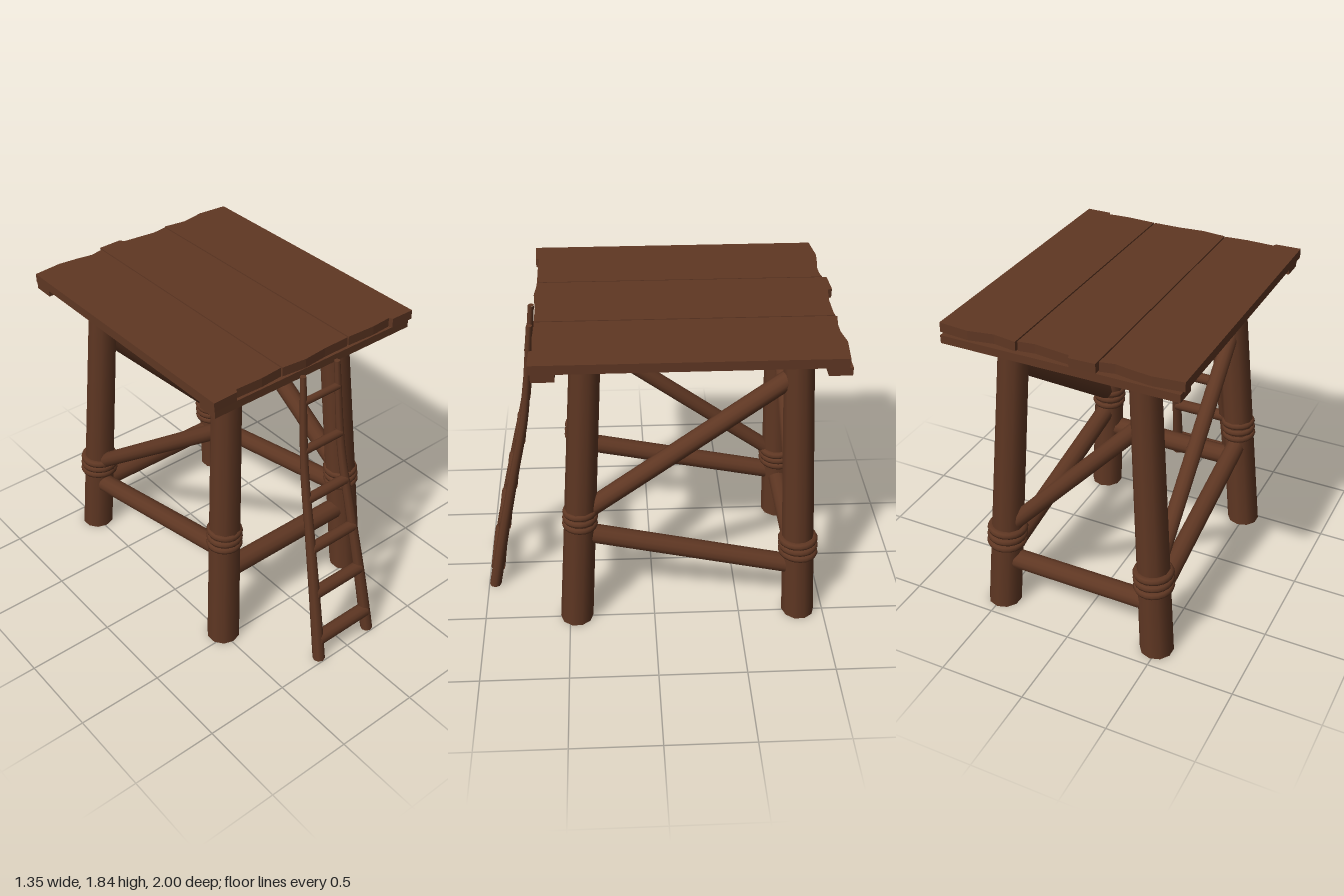
import * as THREE from 'three';

const wood = new THREE.MeshStandardMaterial({ color: 0x5f3723 });
wood.name = 'brownWood';

const LEG_H = 1.725;

// Centre of a splayed leg at height y; sx, sz pick the corner
function legCentre(sx, sz, y) {
  const t = y / LEG_H;
  const z = sz > 0 ? 0.46 - 0.1 * t : -0.855 + 0.095 * t;
  return new THREE.Vector3(sx * (0.49 - 0.12 * t), y, z);
}

export function createModel() {
  const model = new THREE.Group();
  model.name = 'watchPlatform';

  const add = (geometry, name) => {
    const mesh = new THREE.Mesh(geometry, wood);
    mesh.name = name;
    model.add(mesh);
    return mesh;
  };

  // Round beam between two points
  const beam = (a, b, r, name) => {
    const d = b.clone().sub(a);
    const mesh = add(new THREE.CylinderGeometry(r, r, d.length(), 12), name);
    mesh.position.copy(a).add(b).multiplyScalar(0.5);
    mesh.quaternion.setFromUnitVectors(new THREE.Vector3(0, 1, 0), d.normalize());
    return mesh;
  };

  for (const sx of [-1, 1]) {
    for (const sz of [-1, 1]) {
      const side = (sz > 0 ? 'front' : 'back') + (sx > 0 ? 'Left' : 'Right');

      // Leg: tapered post sheared along its splay, so both ends stay level
      const leg = new THREE.CylinderGeometry(0.082, 0.096, LEG_H, 10, 4);
      leg.translate(0, LEG_H / 2, 0);
      const p = leg.attributes.position;
      for (let i = 0; i < p.count; i++) {
        const c = legCentre(sx, sz, p.getY(i));
        p.setXYZ(i, p.getX(i) + c.x, c.y, p.getZ(i) + c.z);
      }
      leg.computeBoundingSphere();
      add(leg, side + 'Leg');

      // Rope lashing: three slightly tilted coils
      const y0 = sz > 0 ? 0.705 : 0.475;
      const [major, tube] = sz > 0 ? [0.08, 0.022] : [0.092, 0.023];
      for (let i = -1; i <= 1; i++) {
        const ring = add(new THREE.TorusGeometry(major, tube, 8, 20), side + 'Rope');
        ring.position.copy(legCentre(sx, sz, y0 + i * 0.043));
        ring.rotation.set(Math.PI / 2 + 0.04 * i, 0.05 * sx, 0);
      }
    }
    // Sloping side rail
    beam(legCentre(sx, 1, 0.605), legCentre(sx, -1, 0.325), 0.056, 'sideRail');
  }

  // Cross rails and diagonal braces
  beam(legCentre(-1, 1, 0.46), legCentre(1, 1, 0.46), 0.06, 'frontRail');
  beam(legCentre(-1, -1, 0.31), legCentre(1, -1, 0.31), 0.058, 'backRail');
  beam(legCentre(1, 1, 0.72), legCentre(1, -1, 1.585), 0.053, 'sideBrace');
  beam(legCentre(-1, 1, 1.4), legCentre(-1, -1, 0.47), 0.046, 'sideBrace');
  beam(legCentre(-1, -1, 1.43), legCentre(1, -1, 0.51), 0.047, 'backBrace');

  // Battens under the deck
  for (const z of [0.57, -0.925]) {
    add(new THREE.BoxGeometry(1.32, 0.045, 0.122), 'batten').position.set(0, 1.753, z);
  }

  // Deck planks with ragged ends: outlines as [x, z]
  const planks = [
    [[-0.675, 0.645], [-0.53, 0.64], [-0.52, 0.62], [-0.36, 0.625], [-0.23, 0.615],
      [-0.23, -0.97], [-0.31, -0.955], [-0.4, -0.97], [-0.51, -0.982], [-0.675, -0.965]],
    [[-0.223, 0.62], [-0.08, 0.635], [0.06, 0.622], [0.22, 0.62],
      [0.22, -0.965], [0.13, -0.952], [0.02, -0.965], [-0.07, -0.975], [-0.08, -1], [-0.223, -0.995]],
    [[0.228, 0.62], [0.4, 0.628], [0.52, 0.62], [0.53, 0.64], [0.672, 0.642],
      [0.672, -0.965], [0.5, -0.98], [0.36, -0.955], [0.228, -0.975]],
  ];
  for (const outline of planks) {
    const shape = new THREE.Shape(outline.map(([x, z]) => new THREE.Vector2(x, -z)));
    const plank = new THREE.ExtrudeGeometry(shape, { depth: 0.053, bevelEnabled: false });
    plank.rotateX(-Math.PI / 2);
    add(plank, 'deckPlank').position.y = 1.782;
  }

  // Ladder: curved rails that thin towards the top
  const railCurve = (sx) => new THREE.CatmullRomCurve3([
    [0.19, 0, 0.963], [0.172, 0.4, 0.885], [0.152, 0.8, 0.8], [0.133, 1.2, 0.715], [0.117, 1.755, 0.657],
  ].map(([x, y, z]) => new THREE.Vector3(sx * x, y, z)));
  const rings = 20, sides = 8;
  for (const sx of [-1, 1]) {
    const curve = railCurve(sx);
    const rail = new THREE.TubeGeometry(curve, rings, 1, sides);
    const p = rail.attributes.position, v = new THREE.Vector3();
    for (let i = 0; i < p.count; i++) {
      const t = Math.floor(i / (sides + 1)) / rings;
      const c = curve.getPointAt(t);
      v.fromBufferAttribute(p, i).sub(c).multiplyScalar(THREE.MathUtils.lerp(0.036, 0.017, t)).add(c);
      if (t === 0) v.y = 0;
      p.setXYZ(i, v.x, v.y, v.z);
    }
    rail.computeBoundingSphere();
    add(rail, 'ladderRail');
    // Flat caps close the rail ends
    const foot = add(new THREE.CircleGeometry(0.036, sides), 'ladderRailEnd');
    foot.position.set(sx * 0.19, 0.001, 0.963);
    foot.rotation.x = Math.PI / 2;
    const top = add(new THREE.CircleGeometry(0.017, sides), 'ladderRailEnd');
    top.position.set(sx * 0.117, 1.755, 0.657);
    top.rotation.x = -Math.PI / 2;
  }

  // Ladder rungs
  const curve = railCurve(1);
  [0.13, 0.435, 0.72, 1.02, 1.315, 1.605].forEach((y, i) => {
    let lo = 0, hi = 1;
    for (let k = 0; k < 20; k++) {
      const mid = (lo + hi) / 2;
      if (curve.getPoint(mid).y < y) lo = mid; else hi = mid;
    }
    const b = curve.getPoint(lo);
    beam(new THREE.Vector3(-b.x, b.y, b.z), b, 0.042 - 0.0042 * i, 'ladderRung');
  });

  return model;
}
